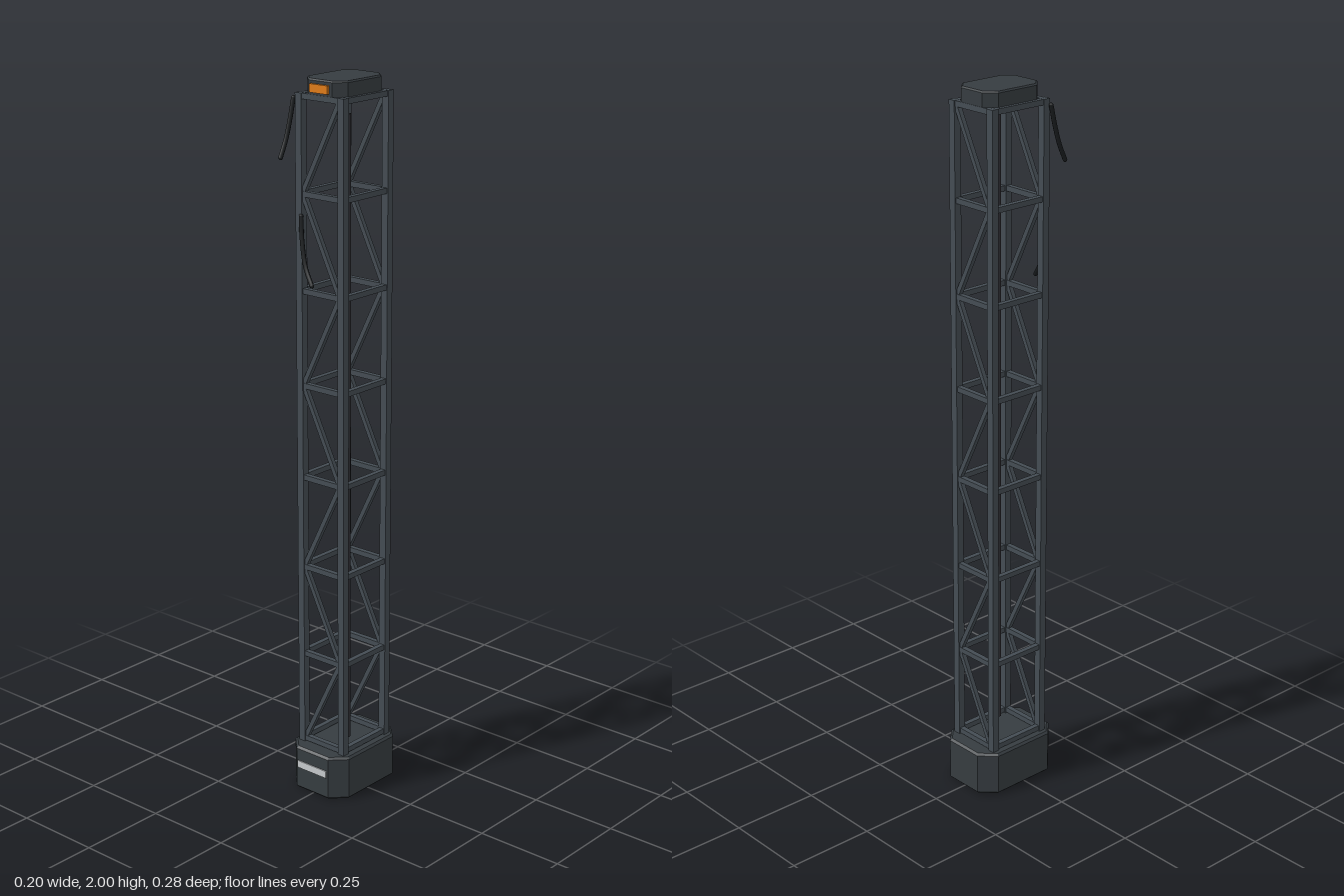
import * as THREE from 'three';

const paint = (name, color) => {
  const m = new THREE.MeshStandardMaterial({ color });
  m.name = name;
  return m;
};

export function createModel() {
  const housing = paint('charcoal', 0x363c40);
  const steel = paint('steel grey', 0x444c53);
  const rubber = paint('black rubber', 0x191c1e);
  const darkSteel = paint('dark steel', 0x302f34);
  const orange = paint('orange', 0xe07c18);
  const pale = paint('pale grey', 0xc6cacc);

  const model = new THREE.Group();
  model.name = 'latticeTower';
  const ZC = -0.0085, PX = 0.072, PZ = 0.0885;

  const add = (name, geo, mat, x = 0, y = 0, z = 0, parent = model) => {
    const mesh = new THREE.Mesh(geo, mat);
    mesh.name = name;
    mesh.position.set(x, y, z);
    parent.add(mesh);
    return mesh;
  };

  // Block with cut corners and a small bevel, standing on y = 0
  const cutBlock = (w, d, h, cut, bevel) => {
    const a = w / 2, b = d / 2;
    const shape = new THREE.Shape([
      [a - cut, -b], [a, -b + cut], [a, b - cut], [a - cut, b],
      [-a + cut, b], [-a, b - cut], [-a, -b + cut], [-a + cut, -b],
    ].map(([x, y]) => new THREE.Vector2(x, y)));
    return new THREE.ExtrudeGeometry(shape, {
      depth: h - 2 * bevel, bevelThickness: bevel, bevelSize: bevel,
      bevelOffset: -bevel, bevelSegments: 1,
    }).translate(0, 0, bevel).rotateX(-Math.PI / 2);
  };

  // Square bar between two points
  const bar = (name, from, to, size, parent) => {
    const a = new THREE.Vector3(...from), b = new THREE.Vector3(...to);
    const mesh = add(name, new THREE.BoxGeometry(size, size, a.distanceTo(b)), steel, 0, 0, 0, parent);
    mesh.position.copy(a).add(b).multiplyScalar(0.5);
    mesh.lookAt(b);
  };

  // Base and cap
  add('base', cutBlock(0.2, 0.275, 0.128, 0.042, 0.006), housing, 0, 0, ZC);
  add('basePlate', new THREE.BoxGeometry(0.105, 0.021, 0.004), pale, 0, 0.076, 0.13);
  add('cap', cutBlock(0.138, 0.19, 0.05, 0.029, 0.004), housing, 0, 1.95, ZC);
  add('capMarker', new THREE.BoxGeometry(0.062, 0.022, 0.008), orange, 0, 1.977, 0.09);

  // Corner posts
  const posts = new THREE.Group();
  posts.name = 'cornerPosts';
  model.add(posts);
  for (const sx of [-1, 1]) {
    for (const sz of [-1, 1]) {
      add('post', new THREE.BoxGeometry(0.021, 1.84, 0.021), steel, sx * PX, 1.04, ZC + sz * PZ, posts);
    }
  }

  // Horizontal rings and zigzag braces on the front and back
  const lattice = new THREE.Group();
  lattice.name = 'lattice';
  model.add(lattice);
  const level = (i) => (i === 7 ? 1.952 : 0.138 + 0.26 * i);
  for (let i = 0; i < 8; i++) {
    const y = level(i);
    for (const s of [-1, 1]) {
      const z = ZC + s * PZ;
      bar('crossRail', [-PX, y, z], [PX, y, z], 0.015, lattice);
      bar('sideRail', [s * PX, y, ZC - PZ], [s * PX, y, ZC + PZ], 0.015, lattice);
      if (i < 7) {
        const d = i % 2 ? 1 : -1;
        bar('diagonalBrace', [d * 0.064, y, z], [-d * 0.064, level(i + 1), z], 0.013, lattice);
      }
    }
  }

  // Inner vertical rod
  add('innerRod', new THREE.CylinderGeometry(0.008, 0.008, 1.76, 10), darkSteel, 0.037, 1.03, 0.02);

  // Loose hanging cables
  const cable = (name, points) => {
    const curve = new THREE.CatmullRomCurve3(points.map((p) => new THREE.Vector3(...p)));
    add(name, new THREE.TubeGeometry(curve, 16, 0.006, 8), rubber);
    for (const t of [0, 1]) {
      const p = curve.getPoint(t);
      add(name + 'End', new THREE.SphereGeometry(0.006, 8, 6), rubber, p.x, p.y, p.z);
    }
  };
  cable('upperCable', [[-0.092, 1.945, 0.085], [-0.093, 1.89, 0.098], [-0.094, 1.84, 0.113], [-0.095, 1.795, 0.133]]);
  cable('lowerCable', [[-0.064, 1.64, 0.09], [-0.054, 1.58, 0.098], [-0.033, 1.51, 0.108], [-0.002, 1.468, 0.119]]);

  return model;
}
